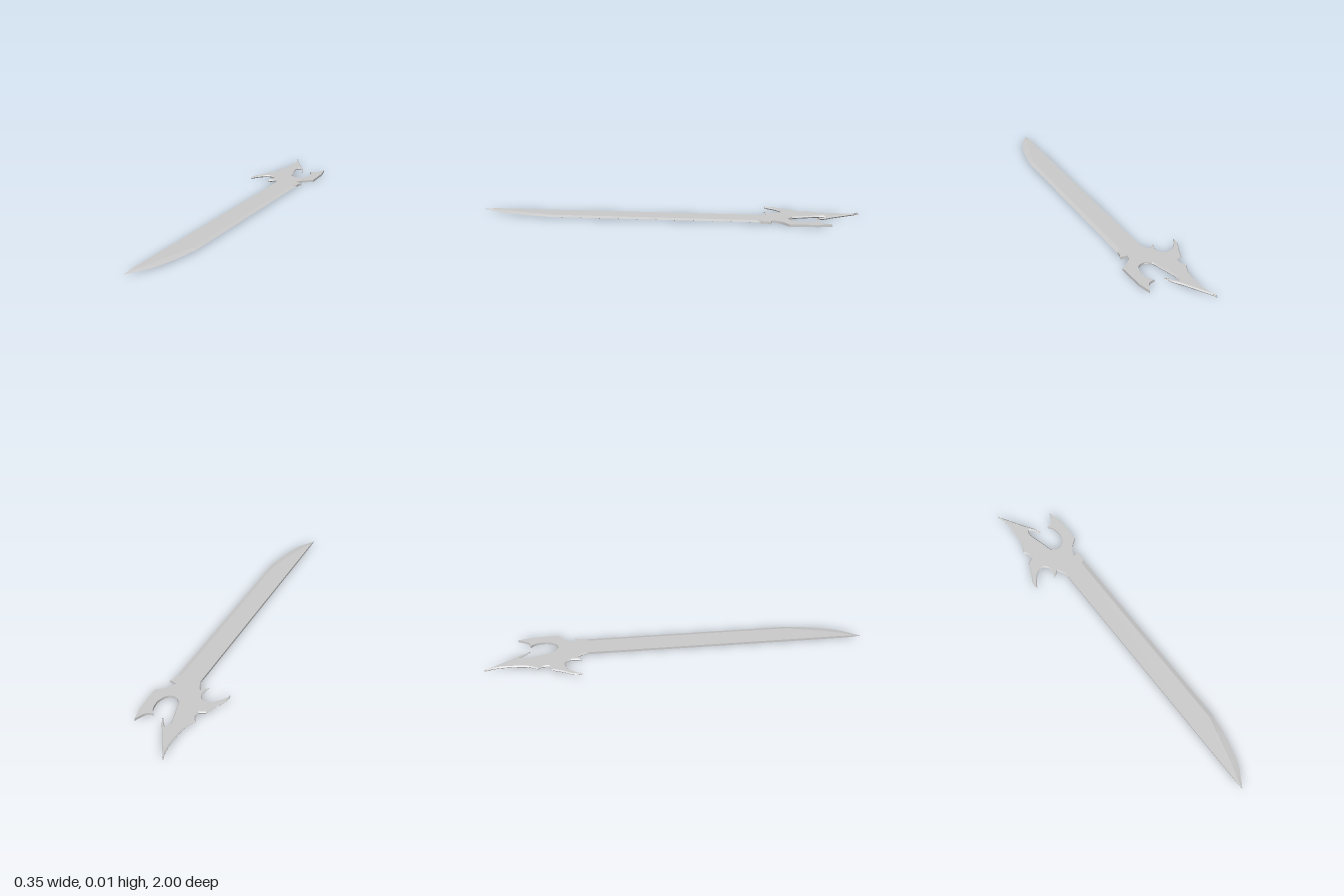
import * as THREE from 'three';

const H = 0.0125; // overall thickness

// Closed outline of splines joined at sharp cusps; y of the shape is -z of the model.
function outline(start, runs) {
  const shape = new THREE.Shape();
  shape.moveTo(...start);
  for (const run of runs) {
    if (run.length === 1) shape.lineTo(...run[0]);
    else shape.splineThru(run.map(([x, y]) => new THREE.Vector2(x, y)));
  }
  return shape;
}

// Lays an extruded outline flat on the ground, optionally with a sharpened rim.
function plate(name, shape, bevel, material) {
  const rim = bevel ? H * 0.46 : 0;
  const geometry = new THREE.ExtrudeGeometry(shape, {
    depth: H - 2 * rim, curveSegments: 4, bevelEnabled: bevel > 0,
    bevelThickness: rim, bevelSize: bevel, bevelOffset: -bevel, bevelSegments: 1,
  });
  geometry.translate(0, 0, rim);
  geometry.rotateX(-Math.PI / 2);
  const mesh = new THREE.Mesh(geometry, material);
  mesh.name = name;
  return mesh;
}

// Blade lofted from five-sided sections: blunt spine, flat body, ground edge.
function bladeGeometry() {
  // z, spine x, edge x, width of the ground edge, thickness
  const stations = [
    [-0.51, 0.003, 0.13, 0.022, H], [0.62, 0.003, 0.13, 0.022, H],
    [0.71, 0.003, 0.117, 0.032, H], [0.79, 0.003, 0.1, 0.036, H],
    [0.86, 0.003, 0.081, 0.036, H], [0.905, 0.003, 0.063, 0.034, H],
    [0.95, 0.003, 0.035, 0.02, H * 0.9], [1, 0.003, 0.004, 0.0005, H * 0.15],
  ];
  const rings = stations.map(([z, spine, edge, ground, t]) => {
    const lo = (H - t) / 2, hi = (H + t) / 2;
    return [[spine, lo, z], [edge - ground, lo, z], [edge, H / 2, z], [edge - ground, hi, z], [spine, hi, z]];
  });
  const positions = [];
  for (let i = 0; i < rings.length - 1; i++) {
    for (let j = 0; j < 5; j++) {
      const k = (j + 1) % 5;
      const [a, b, c, d] = [rings[i][j], rings[i][k], rings[i + 1][k], rings[i + 1][j]];
      positions.push(...a, ...b, ...c, ...a, ...c, ...d);
    }
  }
  // end caps
  const first = rings[0], last = rings[rings.length - 1];
  for (let j = 1; j < 4; j++) {
    positions.push(...first[0], ...first[j + 1], ...first[j]);
    positions.push(...last[0], ...last[j], ...last[j + 1]);
  }
  const geometry = new THREE.BufferGeometry();
  geometry.setAttribute('position', new THREE.Float32BufferAttribute(positions, 3));
  geometry.computeVertexNormals();
  return geometry;
}

export function createModel() {
  const group = new THREE.Group();
  group.name = 'sword';
  const material = new THREE.MeshStandardMaterial({ color: 0xcccccc, side: THREE.DoubleSide });

  const blade = new THREE.Mesh(bladeGeometry(), material);
  blade.name = 'blade';
  group.add(blade);

  // Hooked pommel horn, grip side and swept guard horn, with a sharpened rim
  const horns = outline([-0.093, 1], [
    [[-0.056, 0.94], [-0.008, 0.86], [0.024, 0.815], [0.04, 0.77]],
    [[0.014, 0.805], [-0.004, 0.82], [-0.011, 0.79], [0, 0.745], [0.013, 0.7], [0.03, 0.645], [0.06, 0.625]],
    [[0.08, 0.6]], [[0.08, 0.46]], [[0.003, 0.44]],
    [[0, 0.475], [-0.024, 0.525]],
    [[-0.04, 0.508], [-0.06, 0.5]],
    [[-0.05, 0.525], [-0.05, 0.56], [-0.071, 0.585], [-0.108, 0.58], [-0.145, 0.545], [-0.172, 0.5]],
    [[-0.174, 0.54], [-0.145, 0.6], [-0.124, 0.655]],
    [[-0.092, 0.67]],
    [[-0.092, 0.7], [-0.108, 0.725]],
    [[-0.082, 0.79], [-0.077, 0.915], [-0.093, 1]],
  ]);
  group.add(plate('hornsAndGrip', horns, 0.005, material));

  // Blunt finger curling round the other side of the opening, with its small spur
  const finger = outline([0.03, 0.645], [
    [[0.06, 0.625], [0.098, 0.64], [0.118, 0.69], [0.11, 0.745], [0.09, 0.77]],
    [[0.125, 0.785], [0.152, 0.84]],
    [[0.168, 0.77]], [[0.174, 0.625]],
    [[0.125, 0.585], [0.1, 0.54]],
    [[0.14, 0.535]],
    [[0.131, 0.515], [0.129, 0.49]],
    [[0.1, 0.46]], [[0.012, 0.46]], [[0, 0.56]],
  ]);
  group.add(plate('finger', finger, 0, material));

  return group;
}
